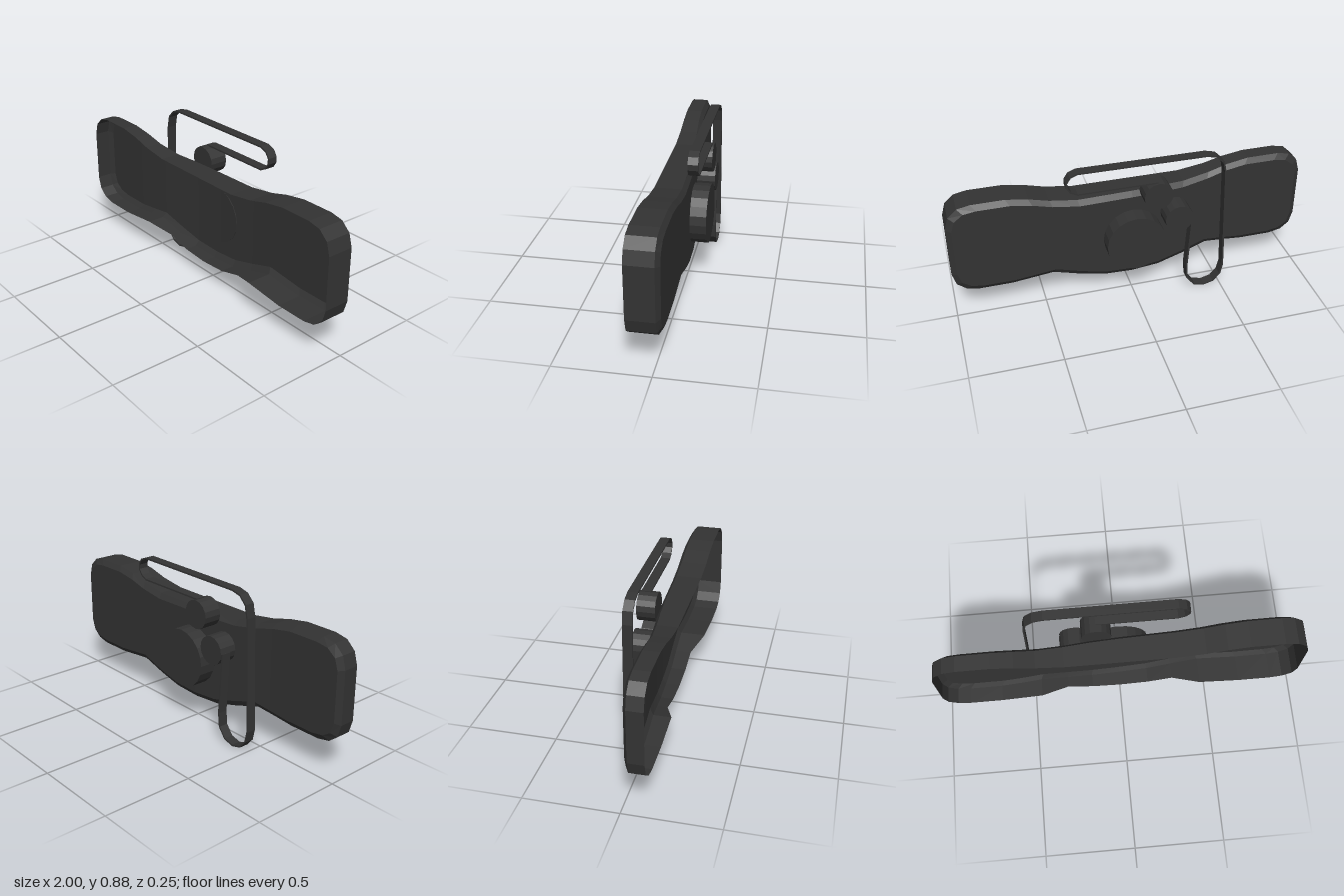
import * as THREE from 'three';

const material = new THREE.MeshStandardMaterial({ color: 0x333333, flatShading: true, side: THREE.DoubleSide });

// Depth of the back panel: shallow on the right, deeper on the left
const depthKeys = [[-1, 0.02], [-0.62, 0.018], [-0.45, 0.008], [-0.2, -0.018], [0, -0.029], [0.3, -0.038], [1, -0.042]];
function backDepth(x) {
  for (let i = 1; i < depthKeys.length; i++) {
    const [x0, z0] = depthKeys[i - 1], [x1, z1] = depthKeys[i];
    if (x <= x1) return z0 + (z1 - z0) * (x - x0) / (x1 - x0);
  }
  return depthKeys.at(-1)[1];
}

// Half outline, from the centre outwards: x, bottom y, top y, bevel inset, front z of the lower rim
const half = [
  [0, 0.12, 0.66, 0.03, 0.07], [0.16, 0.13, 0.66, 0.03, 0.07], [0.3, 0.165, 0.66, 0.03, 0.07],
  [0.45, 0.21, 0.682, 0.03, 0.125], [0.56, 0.198, 0.711, 0.03, 0.125], [0.68, 0.185, 0.73, 0.03, 0.125],
  [0.86, 0.185, 0.73, 0.03, 0.125], [0.93, 0.2, 0.716, 0.026, 0.125], [0.98, 0.24, 0.67, 0.018, 0.125],
  [1, 0.31, 0.6, 0.008, 0.125],
];

// Open-fronted shell lofted across columns
function makeShell() {
  const columns = [...half.slice(1).reverse().map(([x, ...rest]) => [-x, ...rest]), ...half];
  const positions = [], index = [];
  for (const [x, bottom, top, inset, front] of columns) {
    const z = backDepth(x), rim = z + 0.02, xi = x * 0.97;
    positions.push(
      x, bottom, front, x, bottom, rim, xi, bottom + inset, z,
      xi, top - inset, z, x, top, rim, x, top, 0.125);
  }
  const quad = (a, b, c, d) => index.push(a, b, c, a, c, d);
  for (let i = 0; i < columns.length - 1; i++) {
    for (let j = 0; j < 5; j++) {
      const a = i * 6 + j;
      quad(a, a + 1, a + 7, a + 6);
    }
  }
  // End walls and their bevels
  const e = (columns.length - 1) * 6;
  quad(e, e + 1, e + 4, e + 5);
  quad(e + 1, e + 2, e + 3, e + 4);
  quad(5, 4, 1, 0);
  quad(4, 3, 2, 1);
  const geometry = new THREE.BufferGeometry();
  geometry.setAttribute('position', new THREE.Float32BufferAttribute(positions, 3));
  geometry.setIndex(index);
  geometry.computeVertexNormals();
  return geometry;
}

// Disc with its axis along z
function makeDisc(x, y, radius, zFront, zBack, sides) {
  const geometry = new THREE.CylinderGeometry(radius, radius, zFront - zBack, sides);
  geometry.rotateX(Math.PI / 2);
  geometry.translate(x, y, (zFront + zBack) / 2);
  return geometry;
}

// Flat strip following a path in the xy plane, with a slightly ridged edge
function makeBand(path, thickness, zFront, zBack) {
  const points = path.map(([x, y]) => new THREE.Vector2(x, y));
  const side = (sign) => points.map((p, i) => {
    const a = points[Math.max(i - 1, 0)], b = points[Math.min(i + 1, points.length - 1)];
    const t = b.clone().sub(a).normalize();
    return new THREE.Vector2(p.x - t.y * sign * thickness / 2, p.y + t.x * sign * thickness / 2);
  });
  const shape = new THREE.Shape([...side(1), ...side(-1).reverse()]);
  const geometry = new THREE.ExtrudeGeometry(shape, { depth: zFront - zBack, bevelEnabled: false });
  geometry.translate(0, 0, zBack);
  return geometry;
}

export function createModel() {
  const group = new THREE.Group();
  const add = (name, geometry) => {
    const mesh = new THREE.Mesh(geometry, material);
    mesh.name = name;
    group.add(mesh);
  };

  add('shell', makeShell());
  add('pivotDisc', makeDisc(0, 0.386, 0.165, -0.03, -0.123, 20));
  add('upperKnob', makeDisc(-0.12, 0.671, 0.08, -0.022, -0.123, 16));
  add('lowerKnob', makeDisc(-0.24, 0.505, 0.08, -0.022, -0.123, 16));

  // Clip from the upper knob, round the long loop and down to the lower hook
  add('wireClip', makeBand([
    [-0.12, 0.752], [0.315, 0.753], [0.352, 0.772], [0.372, 0.802], [0.372, 0.83], [0.352, 0.861],
    [0.312, 0.877], [-0.385, 0.872], [-0.44, 0.858], [-0.48, 0.818], [-0.494, 0.75],
    [-0.513, 0.13], [-0.5, 0.07], [-0.46, 0.024], [-0.405, 0.009], [-0.345, 0.024], [-0.302, 0.08],
    [-0.295, 0.16], [-0.318, 0.505],
  ], 0.009, -0.06, -0.113));

  return group;
}
